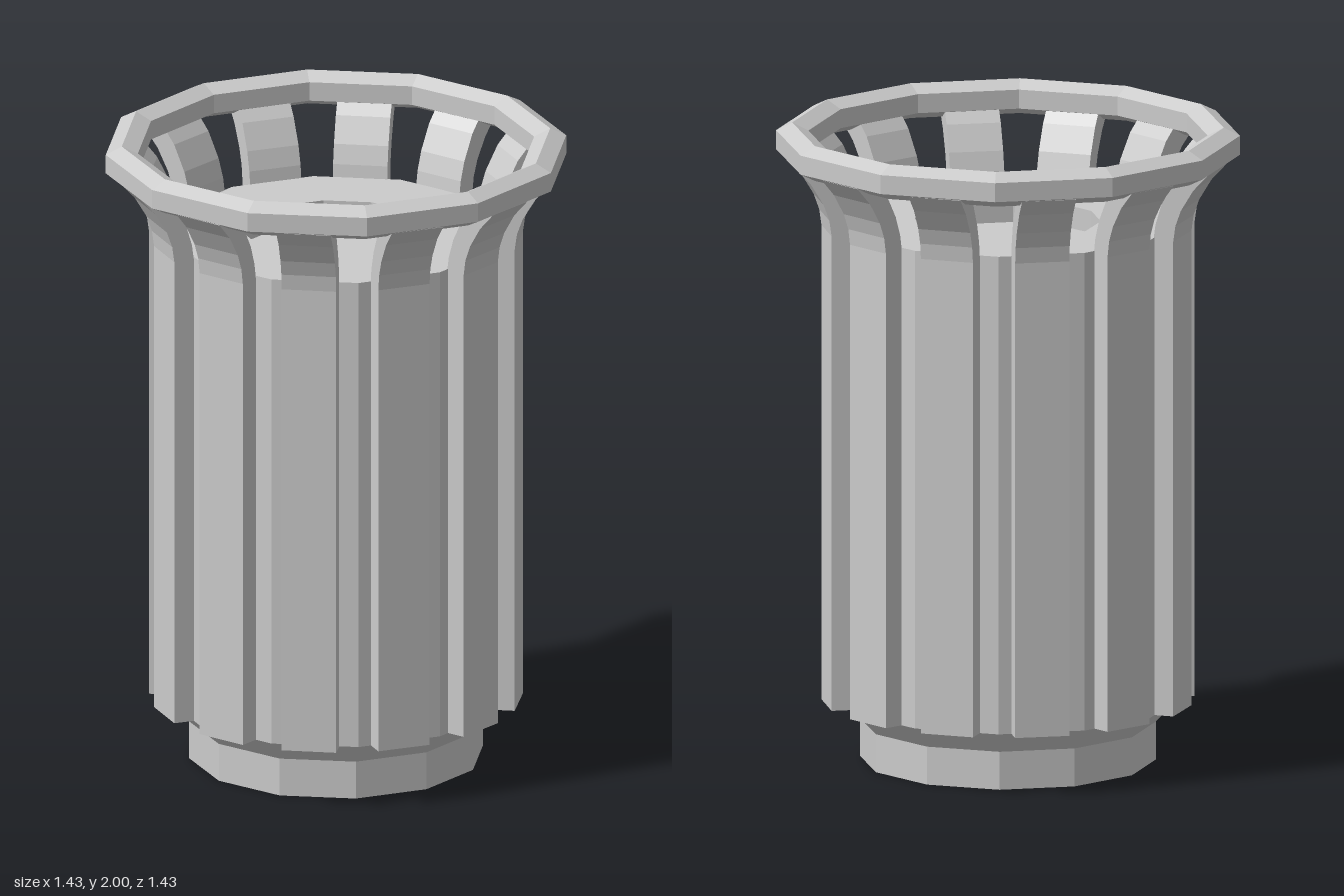
import * as THREE from 'three';

const SIDES = 12;
const RIB_WIDTH = 0.17;

const material = new THREE.MeshStandardMaterial({ color: 0xcccccc, flatShading: true });

const points = (list) => list.map(([x, y]) => new THREE.Vector2(x, y));

function addLathe(group, name, profile) {
  const mesh = new THREE.Mesh(new THREE.LatheGeometry(points(profile), SIDES), material);
  mesh.name = name;
  group.add(mesh);
}

export function createModel() {
  const model = new THREE.Group();
  model.name = 'slattedContainer';

  // Twelve-sided drum: narrow foot, sloped shoulder, recessed top
  addLathe(model, 'drum', [
    [0, 0], [0.457, 0], [0.457, 0.12], [0.525, 0.19],
    [0.525, 1.7], [0.287, 1.7], [0.287, 1.63], [0, 1.63],
  ]);

  // Bevelled rim carried by the ribs
  addLathe(model, 'rim', [
    [0.667, 1.89], [0.717, 1.915], [0.717, 1.975], [0.667, 2],
    [0.617, 1.975], [0.617, 1.915], [0.667, 1.89],
  ]);

  // Rib side profile (radius, height), flaring outwards into the rim
  const ribShape = new THREE.Shape(points([
    [0.5, 0.19], [0.57, 0.19], [0.57, 1.69], [0.577, 1.74], [0.595, 1.79],
    [0.635, 1.856], [0.685, 1.91], [0.68, 1.94],
    [0.62, 1.94], [0.57, 1.88], [0.53, 1.8], [0.512, 1.74], [0.505, 1.69],
  ]));
  const ribGeometry = new THREE.ExtrudeGeometry(ribShape, { depth: RIB_WIDTH, bevelEnabled: false });
  ribGeometry.translate(0, 0, -RIB_WIDTH / 2);

  // One rib on each face of the drum, with a very slight twist
  const ribs = new THREE.Group();
  ribs.name = 'ribs';
  for (let i = 0; i < SIDES; i++) {
    const rib = new THREE.Mesh(ribGeometry, material);
    rib.name = 'rib';
    rib.rotation.y = ((i + 0.5) / SIDES) * Math.PI * 2;
    ribs.add(rib);
  }
  ribs.rotation.y = THREE.MathUtils.degToRad(-1.1);
  model.add(ribs);

  return model;
}
